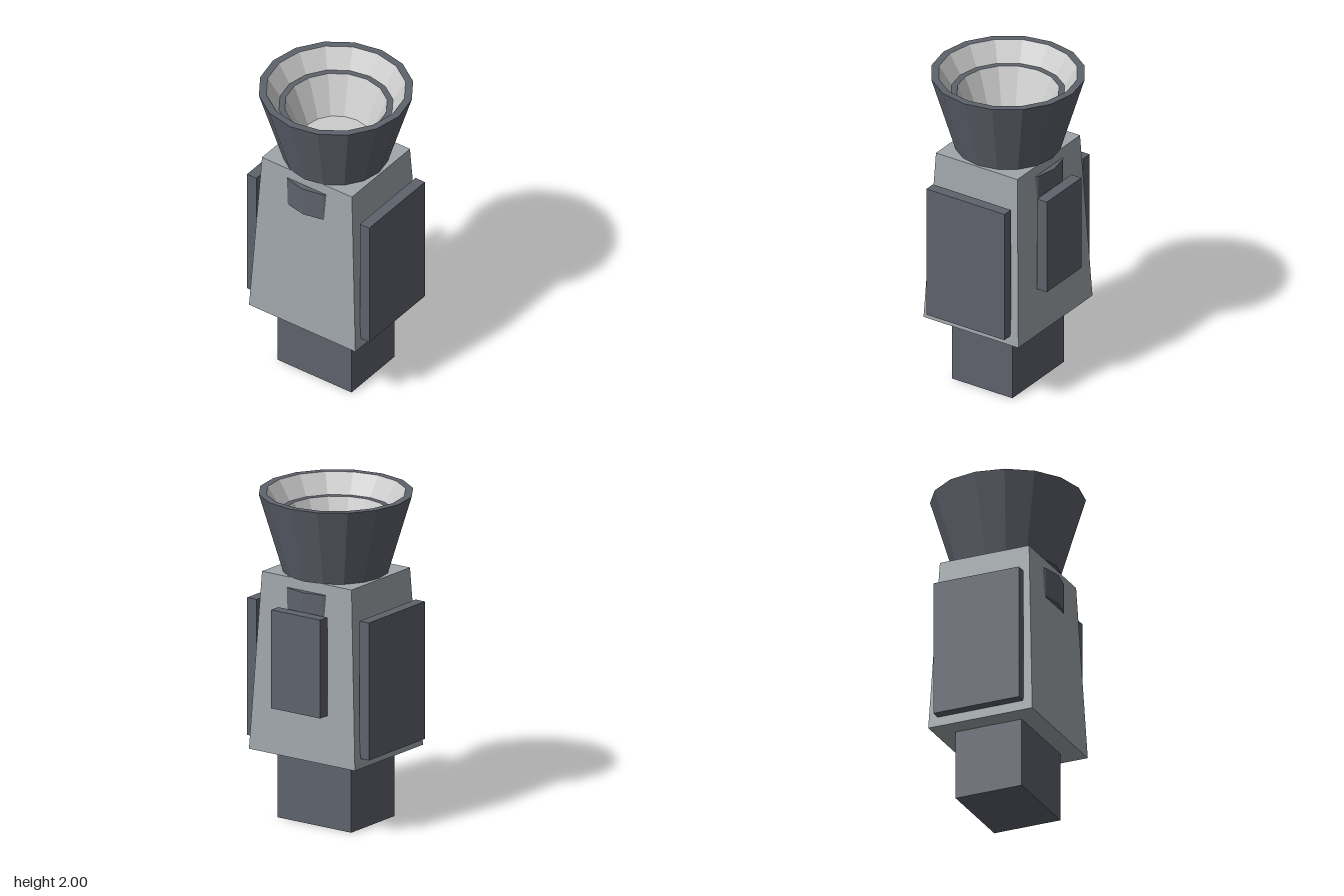
import * as THREE from 'three';

export function createModel() {
  const model = new THREE.Group();
  model.name = 'nozzleUnit';

  const material = (name, color, options = {}) => {
    const m = new THREE.MeshStandardMaterial({ color, flatShading: true, ...options });
    m.name = name;
    return m;
  };
  const hullGrey = material('hullGrey', 0xa0a6aa);
  const darkGrey = material('darkGrey', 0x5e626c);
  const paleGrey = material('paleGrey', 0xcccccc);

  const add = (name, geometry, mat, x = 0, y = 0, z = 0) => {
    const mesh = new THREE.Mesh(geometry, mat);
    mesh.name = name;
    mesh.position.set(x, y, z);
    model.add(mesh);
    return mesh;
  };
  // Box given by its width, depth and lower and upper heights
  const addBox = (name, mat, w, d, y0, y1, x = 0, z = 0) =>
    add(name, new THREE.BoxGeometry(w, y1 - y0, d), mat, x, (y0 + y1) / 2, z);
  // Sixteen-sided turned surface
  const addTurned = (name, mat, profile) =>
    add(name, new THREE.LatheGeometry(profile.map(([r, y]) => new THREE.Vector2(r, y)), 16), mat);

  // Square foot
  addBox('foot', darkGrey, 0.54, 0.43, 0, 0.43);

  // Body, narrowing towards the top
  const body = addBox('body', hullGrey, 0.776, 0.676, 0.43, 1.52);
  const corners = body.geometry.attributes.position;
  for (let i = 0; i < corners.count; i++) {
    if (corners.getY(i) > 0) {
      corners.setX(i, Math.sign(corners.getX(i)) * 0.328);
      corners.setZ(i, Math.sign(corners.getZ(i)) * 0.29);
    }
  }
  body.geometry.computeVertexNormals();

  // Collar inside the body, showing through front and back
  add('collar', new THREE.CylinderGeometry(0.33, 0.33, 0.185, 16), darkGrey, 0, 1.363, 0);

  // Side panels with their mounts
  for (const [side, name] of [[1, 'left'], [-1, 'right']]) {
    addBox(name + 'Panel', darkGrey, 0.068, 0.556, 0.49, 1.335, side * 0.412, 0);
    addBox(name + 'Mount', darkGrey, 0.1, 0.36, 0.67, 1.155, side * 0.313, 0);
  }

  // Back panel
  addBox('backPanel', darkGrey, 0.36, 0.07, 0.73, 1.335, 0, -0.365);

  // Nozzle: outer shell, flared lining, inner ledge and bowl
  addTurned('nozzleShell', darkGrey, [[0, 1.52], [0.315, 1.52], [0.46, 2], [0.415, 2]]);
  addTurned('nozzleLining', paleGrey, [[0.415, 2], [0.34, 1.88]]);
  addTurned('nozzleLedge', darkGrey, [[0.34, 1.88], [0.305, 1.88]]);
  addTurned('nozzleBowl', paleGrey, [[0.305, 1.88], [0.205, 1.64], [0, 1.64]]);

  return model;
}
